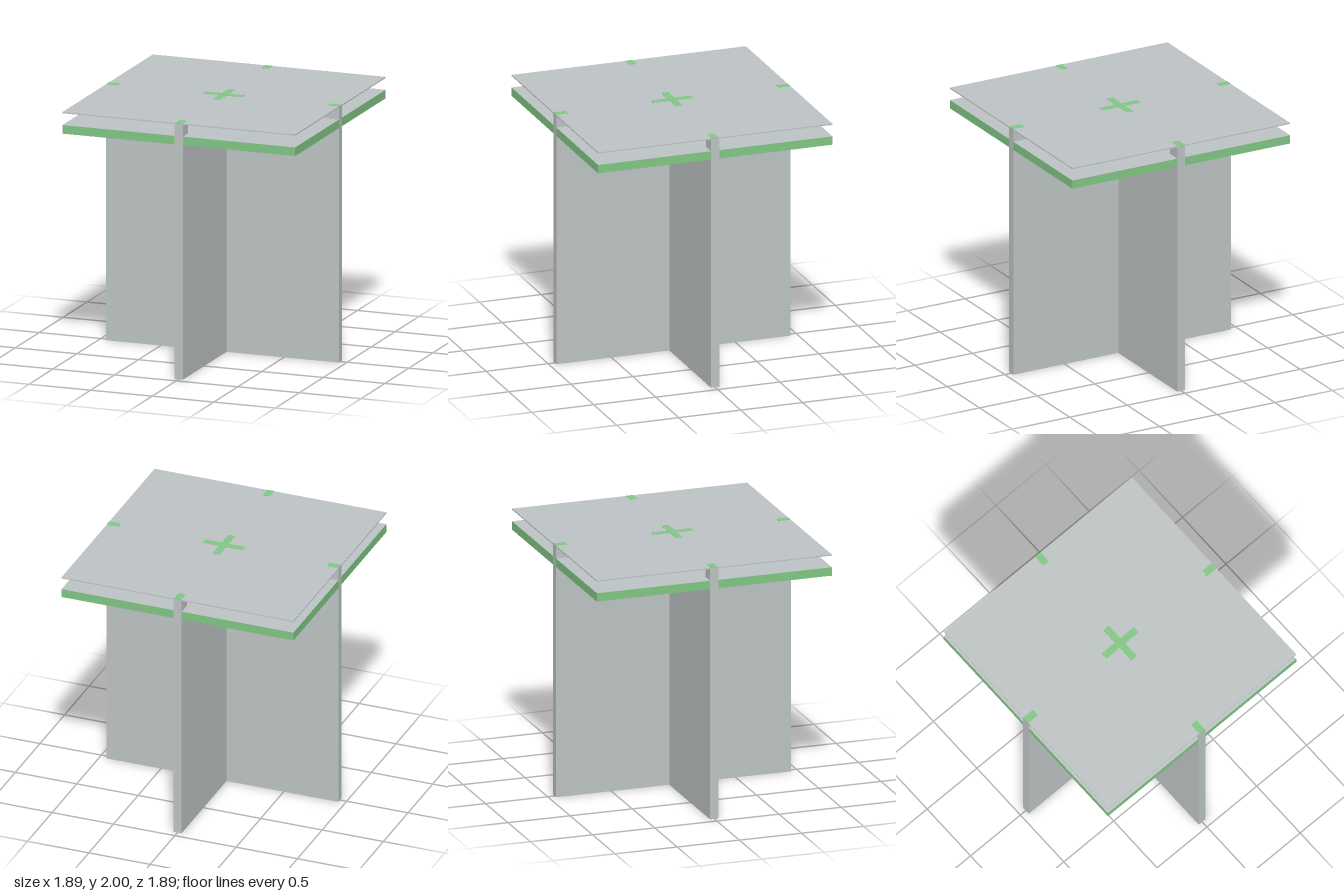
import * as THREE from 'three';

export function createModel() {
  const grey = new THREE.MeshStandardMaterial({ name: 'grey panel', color: 0xbdc3c4 });
  const green = new THREE.MeshStandardMaterial({ name: 'green edge', color: 0x81c784 });

  const H = 0.945;      // half width of the table
  const T = 0.034;      // half thickness of the leg panels
  const TAB = 0.835;    // inner end of the outer tabs
  const CORE = 0.168;   // half width of the central tab
  const SLAB = [1.83, 1.897];
  const TOP = 1.998;

  const group = new THREE.Group();
  const add = (parent, name, geometry, material) => {
    const mesh = new THREE.Mesh(geometry, material);
    mesh.name = name;
    parent.add(mesh);
    return mesh;
  };
  const shapeOf = (points) => new THREE.Shape(points.map(([x, y]) => new THREE.Vector2(x, y)));

  // Two crossed leg panels, each with three tabs rising through the shelf
  const half = [[H, 0], [H, TOP], [TAB, TOP], [TAB, 1.86], [CORE, 1.86], [CORE, TOP]];
  const outline = [...half, ...half.map(([x, y]) => [-x, y]).reverse()];
  const panelGeometry = new THREE.ExtrudeGeometry(shapeOf(outline), { depth: 2 * T, bevelEnabled: false });
  panelGeometry.translate(0, 0, -T);
  ['legPanelAcross', 'legPanelDeep'].forEach((name, i) => {
    add(group, name, panelGeometry, grey).rotation.y = i * Math.PI / 2;
  });

  // Lower shelf: square with a slot in the middle of each side, green rim
  const shelfPoints = [];
  for (let i = 0; i < 4; i++) {
    const c = [1, 0, -1, 0][i], s = [0, 1, 0, -1][i];
    for (const [x, y] of [[H, -H], [H, -T], [TAB, -T], [TAB, T], [H, T]]) {
      shelfPoints.push([x * c - y * s, x * s + y * c]);
    }
  }
  const shelfGeometry = new THREE.ExtrudeGeometry(shapeOf(shelfPoints),
    { depth: SLAB[1] - SLAB[0], bevelEnabled: false });
  shelfGeometry.rotateX(-Math.PI / 2).translate(0, SLAB[0], 0);
  add(group, 'lowerShelf', shelfGeometry, [grey, green]);

  // Thin table top
  const topGeometry = new THREE.BoxGeometry(2 * H, 0.009, 2 * H);
  add(group, 'tableTop', topGeometry, grey).position.y = TOP - 0.0045;

  // Green tab ends showing in the table top
  const marks = new THREE.Group();
  marks.name = 'tabEnds';
  group.add(marks);
  const W = 0.055;
  for (let i = 0; i < 4; i++) {
    const arm = new THREE.Group();
    arm.name = 'tabEndArm';
    arm.rotation.y = i * Math.PI / 2;
    marks.add(arm);
    for (const [name, a, b] of [['outerTabEnd', 0.85, H], ['centreTabEnd', W / 2, 0.161]]) {
      add(arm, name, new THREE.BoxGeometry(b - a, 0.003, W), green)
        .position.set((a + b) / 2, 2 - 0.0015, 0);
    }
  }
  add(marks, 'centreTabCrossing', new THREE.BoxGeometry(W, 0.003, W), green).position.y = 2 - 0.0015;

  return group;
}
